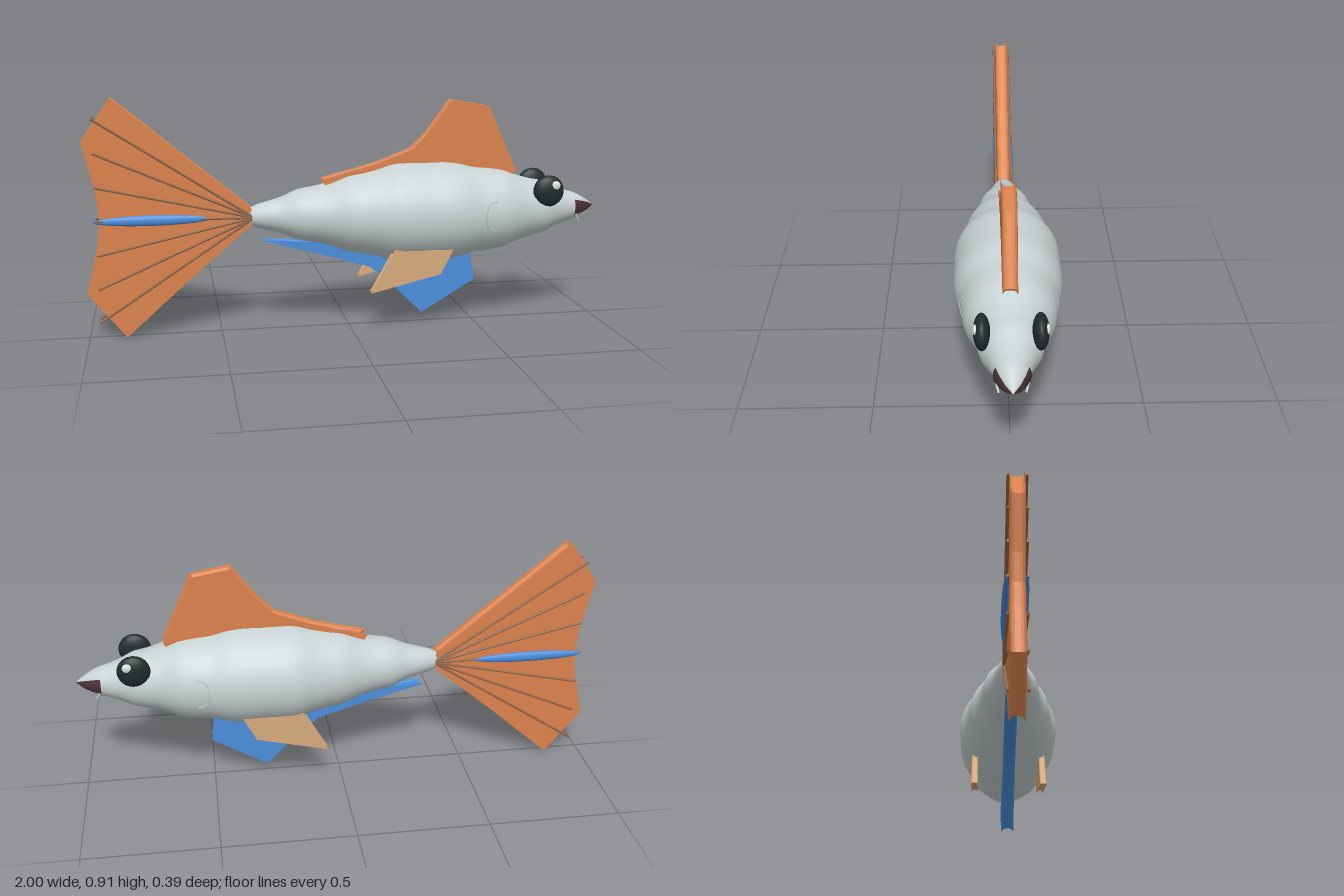
import * as THREE from 'three';

const mat = (name, color, side = THREE.FrontSide) => {
  const m = new THREE.MeshStandardMaterial({ color, side });
  m.name = name;
  return m;
};

export function createModel() {
  const fish = new THREE.Group();
  fish.name = 'fish';
  const AXIS = 0.455; // height of the body axis

  const grey = mat('silver grey', 0xc9d3d3);
  const orange = mat('fin orange', 0xdb824c, THREE.DoubleSide);
  const blue = mat('fin blue', 0x4a8edb, THREE.DoubleSide);
  const tan = mat('fin tan', 0xd6aa7a, THREE.DoubleSide);
  const brown = mat('ray brown', 0x96694c);
  const black = mat('eye black', 0x1f2b2b);
  const white = mat('eye glint', 0xdde4e4);
  const maroon = mat('mouth maroon', 0x4b3139, THREE.DoubleSide);

  const add = (name, geometry, material, x = 0, y = 0, z = 0) => {
    const mesh = new THREE.Mesh(geometry, material);
    mesh.name = name;
    mesh.position.set(x, y, z);
    fish.add(mesh);
    return mesh;
  };
  const ellipsoid = (rx, ry, rz) => new THREE.SphereGeometry(1, 24, 16).scale(rx, ry, rz);

  // Round rod between two points
  const rod = (name, a, b, r, material) => {
    const dir = b.clone().sub(a);
    const mid = a.clone().add(b).multiplyScalar(0.5);
    const mesh = add(name, new THREE.CylinderGeometry(r, r, dir.length(), 8), material, mid.x, mid.y, mid.z);
    mesh.quaternion.setFromUnitVectors(new THREE.Vector3(0, 1, 0), dir.normalize());
  };

  // Fin: two flat faces joined by a hollowed rim (inward bevel)
  const fin = (name, points, material, half, inset, z = 0) => {
    const shape = new THREE.Shape(points.map(([x, y]) => new THREE.Vector2(x, y)));
    const bevel = half * 0.65;
    const depth = 2 * (half - bevel);
    const g = new THREE.ExtrudeGeometry(shape, {
      depth, bevelEnabled: true, bevelThickness: bevel, bevelSize: -inset, bevelSegments: 3,
    });
    add(name, g.translate(0, 0, -depth / 2), material, 0, 0, z);
  };

  // Body: gently rippled profile turned about the x axis, [x, radius]
  const profile = [
    [-0.42, 0], [-0.405, 0.018], [-0.37, 0.04], [-0.32, 0.055], [-0.26, 0.072], [-0.2, 0.098],
    [-0.13, 0.11], [-0.07, 0.126], [-0.01, 0.149], [0.05, 0.16], [0.11, 0.174], [0.17, 0.192],
    [0.24, 0.195], [0.3, 0.194], [0.37, 0.195], [0.43, 0.188], [0.49, 0.173], [0.55, 0.167],
    [0.61, 0.157], [0.67, 0.133], [0.73, 0.115], [0.78, 0.105], [0.83, 0.082], [0.88, 0.064],
    [0.92, 0.052], [0.96, 0.03], [0.985, 0.013], [1, 0],
  ];
  const curve = new THREE.SplineCurve(profile.map(([x, r]) => new THREE.Vector2(r, x)));
  const bodyPoints = curve.getPoints(81).map((p) => new THREE.Vector2(Math.max(p.x, 0), p.y));
  add('body', new THREE.LatheGeometry(bodyPoints, 32).rotateZ(-Math.PI / 2), grey, 0, AXIS, 0);

  // Tail fin
  fin('tailFin', [
    [-0.38, 0.49], [-0.62, 0.69], [-0.89, 0.918], [-1, 0.76], [-0.955, 0.56], [-0.945, 0.46],
    [-0.955, 0.37], [-1, 0.18], [-0.86, 0.005], [-0.62, 0.22], [-0.38, 0.425],
  ], orange, 0.026, 0.02);

  // Dorsal fin
  fin('dorsalFin', [
    [-0.11, 0.592], [-0.08, 0.54], [0.62, 0.54], [0.665, 0.608], [0.55, 0.862], [0.4, 0.888],
    [0.31, 0.765], [0.245, 0.7], [0.1, 0.646],
  ], orange, 0.026, 0.018);

  // Belly fin
  fin('bellyFin', [
    [-0.345, 0.362], [-0.1, 0.295], [0.08, 0.24], [0.15, 0.185], [0.29, 0.045], [0.505, 0.172],
    [0.48, 0.3], [0.1, 0.34], [-0.14, 0.35],
  ], blue, 0.023, 0.016);

  // Tail rays and blue streak on both faces of the tail
  for (const side of [1, -1]) {
    for (const y of [0.842, 0.715, 0.588, 0.46, 0.328, 0.197, 0.067]) {
      rod('tailRay', new THREE.Vector3(-0.37, AXIS, side * 0.031), new THREE.Vector3(-0.96, y, side * 0.031), 0.0048, brown);
    }
    add('tailStreak', ellipsoid(0.217, 0.02, 0.012), blue, -0.752, 0.457, side > 0 ? 0.029 : -0.036);
  }

  for (const side of [1, -1]) {
    // Pectoral fin
    fin('pectoralFin', [[0.155, 0.335], [0.06, 0.165], [0.335, 0.23], [0.387, 0.33]], tan, 0.013, 0.012, side * 0.132);

    // Eye with glint
    add('eye', ellipsoid(0.062, 0.062, 0.028), black, 0.777, 0.533, side * 0.096);
    add('eyeGlint', ellipsoid(0.018, 0.018, 0.008), white, 0.799, 0.557, side * 0.117);

    // Mouth: a sector hugging the snout
    const lips = [[0.062, 0.905], [0.047, 0.94], [0.028, 0.972], [0.001, 1]].map(([r, x]) => new THREE.Vector2(r, x));
    const start = (side > 0 ? 0 : Math.PI) - 0.53;
    add('mouth', new THREE.LatheGeometry(lips, 6, start, 1.06).rotateZ(-Math.PI / 2), maroon, 0, AXIS, 0);

    // Chin barbel
    rod('barbel', new THREE.Vector3(0.91, 0.43, side * 0.052), new THREE.Vector3(0.925, 0.403, side * 0.044), 0.004, grey);

    // Gill edge following the body surface
    const gill = [[0.548, 0.055], [0.517, 0.044], [0.505, 0], [0.517, -0.046], [0.548, -0.062]].map(([x, y]) => {
      const r = 0.171 - (x - 0.505) * 0.09;
      return new THREE.Vector3(x, y, side * Math.sqrt(r * r - y * y));
    });
    add('gillEdge', new THREE.TubeGeometry(new THREE.CatmullRomCurve3(gill), 20, 0.003, 6), grey, 0, AXIS, 0);
  }

  return fish;
}
